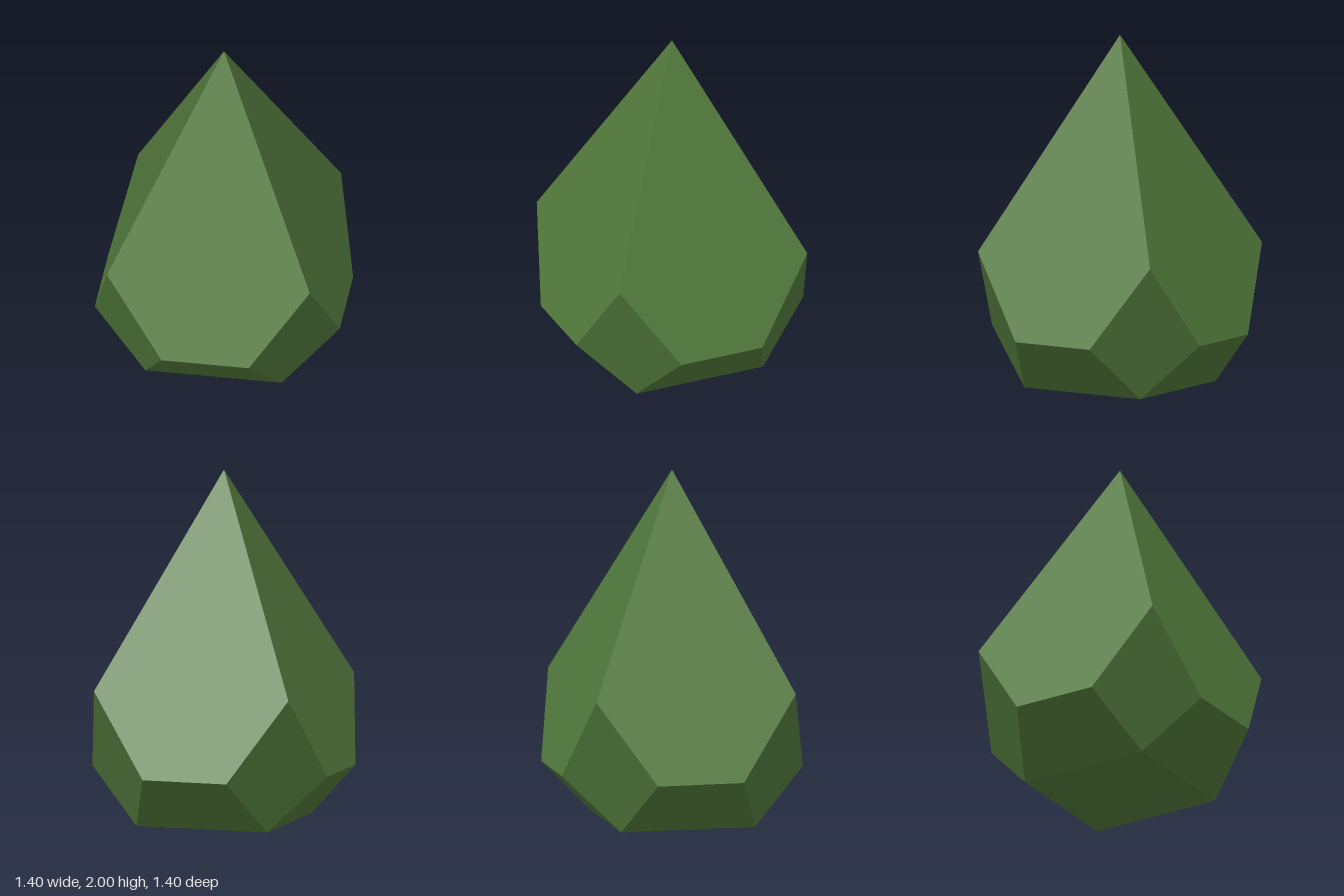
import * as THREE from 'three';

// One flat facet: fanned from its first corner, with one shared normal
function facet(corners) {
  const normal = new THREE.Vector3();
  corners.forEach((p, i) => {
    const q = corners[(i + 1) % corners.length];
    normal.add(new THREE.Vector3().crossVectors(p, q));
  });
  normal.normalize();
  const index = [];
  for (let i = 1; i < corners.length - 1; i++) index.push(0, i, i + 1);
  const geometry = new THREE.BufferGeometry().setFromPoints(corners);
  const normals = corners.flatMap(() => normal.toArray());
  geometry.setAttribute('normal', new THREE.Float32BufferAttribute(normals, 3));
  geometry.setIndex(index);
  return geometry;
}

export function createModel() {
  const green = new THREE.MeshStandardMaterial({ color: 0x527a3c });
  green.name = 'leafGreen';

  const model = new THREE.Group();
  model.name = 'facetedCrown';
  const v = (x, y, z) => new THREE.Vector3(x, y, z);
  const add = (name, corners, turn = 0) => {
    const mesh = new THREE.Mesh(facet(corners), green);
    mesh.name = name;
    mesh.rotation.y = turn;
    model.add(mesh);
  };

  // Corner heights and reaches
  const apex = v(0, 2, 0);
  const shoulder = (s) => v(s * 0.58, 0.787, 0.58);
  const belly = (s) => v(s * 0.25, 0.312, 0.7);
  const foot = (s) => v(s * 0.39, 0, 0.39);

  // Four identical quarters around the vertical axis
  for (let i = 0; i < 4; i++) {
    const turn = (i * Math.PI) / 2;
    add('upperFacet', [shoulder(-1), belly(-1), belly(1), shoulder(1), apex], turn);
    add('lowerFacet', [belly(-1), foot(-1), foot(1), belly(1)], turn);
    add('cornerFacet', [shoulder(1), belly(1), foot(1), v(0.7, 0.312, 0.25)], turn);
  }

  // Square underside
  add('base', [v(-0.39, 0, -0.39), v(0.39, 0, -0.39), v(0.39, 0, 0.39), v(-0.39, 0, 0.39)]);
  return model;
}
